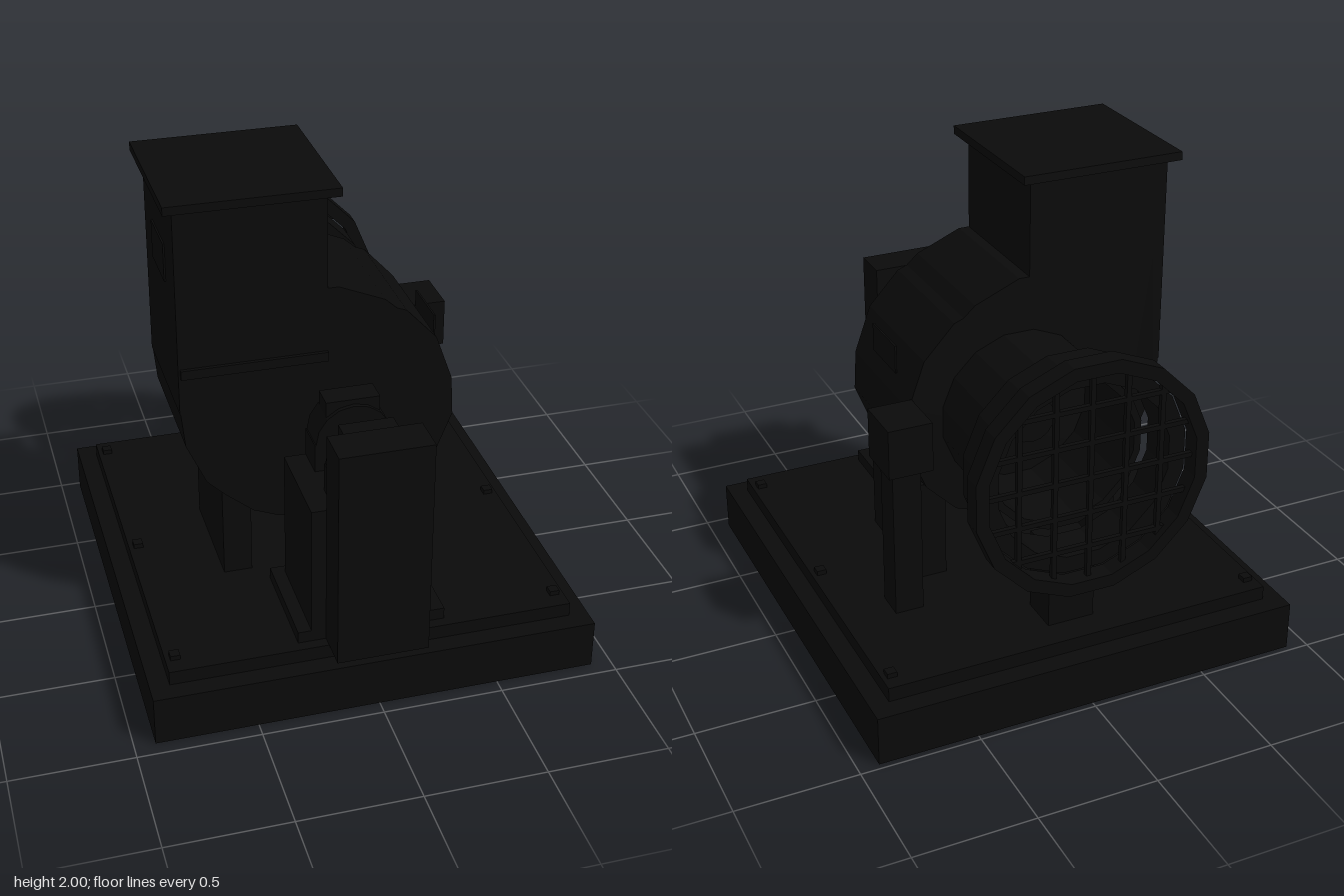
import * as THREE from 'three';

export function createModel() {
  const model = new THREE.Group();
  model.name = 'centrifugalBlower';
  const black = new THREE.MeshStandardMaterial({ color: 0x0a0a0a, flatShading: true });
  black.name = 'black metal';

  const add = (name, geometry, parent = model) => {
    const mesh = new THREE.Mesh(geometry, black);
    mesh.name = name;
    parent.add(mesh);
    return mesh;
  };
  // box given by its limits on each axis
  const box = (name, x0, x1, y0, y1, z0, z1, parent) => {
    const mesh = add(name, new THREE.BoxGeometry(x1 - x0, y1 - y0, z1 - z0), parent);
    mesh.position.set((x0 + x1) / 2, (y0 + y1) / 2, (z0 + z1) / 2);
    return mesh;
  };
  const polygon = (r, Type, sides = 16) => {
    const points = [];
    for (let i = 0; i < sides; i++) {
      const a = ((i + 0.5) / sides) * Math.PI * 2;
      points.push(new THREE.Vector2(Math.cos(a) * r, Math.sin(a) * r));
    }
    return new Type(points);
  };
  // sixteen-sided hollow ring on the fan axis
  const ring = (name, outer, inner, z0, z1) => {
    const shape = polygon(outer, THREE.Shape);
    shape.holes.push(polygon(inner, THREE.Path));
    const mesh = add(name, new THREE.ExtrudeGeometry(shape, { depth: z1 - z0, bevelEnabled: false }));
    mesh.position.set(0, 1, z0);
  };
  const disc = (name, r, z0, z1, sides = 16) => {
    const mesh = add(name, new THREE.CylinderGeometry(r, r, z1 - z0, sides));
    mesh.rotation.x = Math.PI / 2;
    mesh.position.set(0, 1, (z0 + z1) / 2);
  };

  // foundation, bed plate and anchor bolts
  box('foundation', -0.915, 0.915, 0, 0.21, -0.975, 0.94);
  box('bedPlate', -0.835, 0.835, 0.21, 0.27, -0.89, 0.86);
  for (const x of [-0.795, 0.795])
    for (const z of [-0.81, -0.02, 0.77])
      box('anchorBolt', x - 0.02, x + 0.02, 0.27, 0.29, z - 0.02, z + 0.02);

  // scroll housing
  const outline = [
    [-0.6, 1.565], [-0.645, 1.09], [-0.63, 0.94], [-0.55, 0.76], [-0.48, 0.69], [-0.36, 0.59],
    [-0.25, 0.545], [-0.1, 0.52], [0.1, 0.525], [0.28, 0.59], [0.41, 0.72], [0.49, 0.92],
    [0.48, 1.09], [0.41, 1.285], [0.28, 1.425], [0.24, 1.44], [0.19, 1.485], [0, 1.565],
  ].map(p => new THREE.Vector2(...p));
  add('scrollHousing', new THREE.ExtrudeGeometry(new THREE.Shape(outline),
    { depth: 0.585, bevelEnabled: false })).position.z = -0.27;

  // outlet duct with top flange, band and side plates
  box('outletDuct', -0.648, -0.045, 1.09, 1.965, -0.27, 0.315);
  box('outletFlange', -0.69, 0, 1.965, 2, -0.31, 0.36);
  box('ductBand', -0.64, -0.045, 1.25, 1.29, 0.315, 0.33);
  box('ductPlate', -0.655, -0.647, 1.59, 1.75, -0.1, 0.14);
  box('sidePlate', 0.457, 0.465, 1.17, 1.29, -0.1, 0.14);

  // housing legs
  box('housingLeg', -0.48, -0.36, 0.27, 0.71, -0.23, 0.27);
  box('housingLeg', 0.31, 0.435, 0.27, 0.71, -0.23, 0.27);

  // inlet pipe, collar and flange
  ring('inletPipe', 0.34, 0.31, -0.69, -0.27);
  ring('inletCollar', 0.44, 0.37, -0.86, -0.69);
  ring('inletFlange', 0.5, 0.445, -0.94, -0.86);
  disc('impellerHub', 0.1, -0.4, -0.27);

  // inlet guard bars
  for (const p of [-0.3, -0.15, 0, 0.15, 0.3]) {
    const h = Math.sqrt(0.45 ** 2 - p * p);
    box('guardBar', p - 0.01, p + 0.01, 1 - h, 1 + h, -0.91, -0.89);
    box('guardBar', -h, h, 1 + p - 0.01, 1 + p + 0.01, -0.91, -0.89);
  }

  // inlet support and side control post
  box('inletSupport', -0.1, 0.1, 0.27, 0.62, -0.77, -0.6);
  box('controlPost', 0.5, 0.62, 0.27, 0.92, -0.435, -0.31);
  box('controlBox', 0.465, 0.65, 0.92, 1.13, -0.48, -0.265);

  // bearing pedestal, drive guard and shaft
  box('pedestalFoot', -0.305, 0.305, 0.27, 0.32, 0.36, 0.815);
  box('bearingPedestal', -0.25, 0.245, 0.27, 0.88, 0.4, 0.815);
  box('driveGuard', -0.19, 0.185, 0.27, 1.21, 0.815, 0.98);
  disc('shaft', 0.1, 0.315, 0.41);

  // two bearing blocks with caps
  for (const z of [0.4, 0.672]) {
    box('bearingBase', -0.16, 0.15, 0.88, 1, z, z + 0.14);
    disc('bearingHousing', 0.155, z, z + 0.14);
    box('bearingCap', -0.11, 0.11, 1.09, 1.175, z + 0.018, z + 0.122);
  }
  return model;
}
